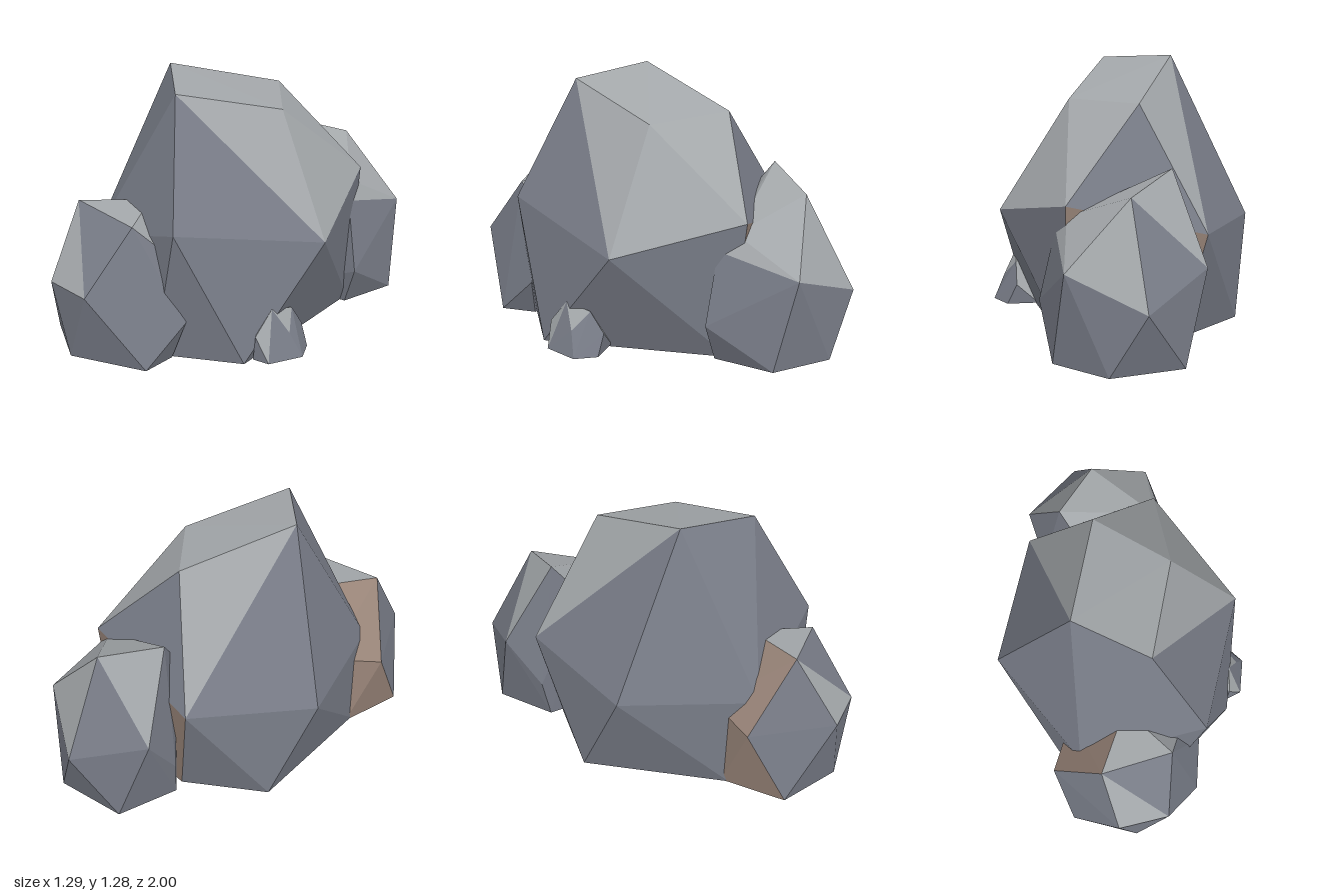
import * as THREE from 'three';
import { ConvexGeometry } from 'three/addons/geometries/ConvexGeometry.js';

function stone(name, color) {
  const material = new THREE.MeshStandardMaterial({ color, flatShading: true });
  material.name = name;
  return material;
}
const materials = [stone('slate', 0x787c87), stone('paleGrey', 0xa3a7aa), stone('earthBrown', 0x988478)];
const SLATE = 0, PALE = 1, EARTH = 2;

// Upward facets are weathered pale, the others slate
const weathered = (n) => (n.y > 0.47 ? PALE : SLATE);

// A faceted boulder: the hull of its corners, each facet coloured by its normal
function boulder(name, corners, paint) {
  const geo = new ConvexGeometry(corners.map((c) => new THREE.Vector3(...c)));
  const normal = geo.attributes.normal;
  for (let i = 0; i < normal.count; i += 3) {
    geo.addGroup(i, 3, paint(new THREE.Vector3().fromBufferAttribute(normal, i)));
  }
  const mesh = new THREE.Mesh(geo, materials);
  mesh.name = name;
  return mesh;
}

export function createModel() {
  const group = new THREE.Group();
  group.name = 'rockCluster';

  // Tall central boulder: crown, waist, flat foot; brown towards the back boulder
  group.add(boulder('mainBoulder', [
    [-0.28, 1.28, 0.2], [0.04, 1.24, 0.45], [0.26, 1.11, -0.04], [-0.05, 1.13, -0.33],
    [0.61, 0.54, 0.02], [-0.65, 0.48, 0.03], [0.27, 0.66, 0.68],
    [-0.36, 0.47, 0.64], [0.32, 0.7, -0.56], [-0.35, 0.54, -0.55],
    [-0.56, 0, -0.2], [0.49, 0, 0.44], [0.32, 0, -0.48],
    [-0.22, 0, -0.48], [-0.42, 0, 0.52], [0.12, 0, 0.68],
  ], (n) => (n.z < -0.85 && n.y < 0.2 ? EARTH : weathered(n))));

  // Front boulder: brown towards the main one, slate on its upper right front facet
  group.add(boulder('frontBoulder', [
    [-0.285, 0.715, 0.79], [0.075, 0.67, 0.76], [-0.1, 0.69, 0.5], [0.2, 0.44, 0.55],
    [-0.5, 0.365, 0.635], [-0.25, 0.365, 1], [0.005, 0.36, 1], [0.275, 0.2, 0.615],
    [-0.35, 0.41, 0.4],
    [-0.45, 0, 0.82], [-0.15, 0, 0.98], [0.22, 0, 0.82], [0.2, 0, 0.64], [-0.42, 0, 0.48],
  ], (n) => {
    if (n.x < -0.2 && n.z < 0.05) return EARTH;
    return n.x > 0.08 && n.z > 0.6 ? SLATE : weathered(n);
  }));

  // Back boulder: pale over the top and down the back right
  group.add(boulder('backBoulder', [
    [-0.18, 0.86, -0.53], [0.04, 0.785, -0.76], [0.31, 0.64, -0.5], [-0.1, 0.68, -0.4],
    [0.36, 0.56, -0.43], [0.35, 0.46, -0.83], [-0.01, 0.31, -1], [-0.315, 0.44, -0.745],
    [-0.285, 0.2, -0.565], [0.44, 0.2, -0.4],
    [0.16, 0, -0.94], [0.4, 0, -0.73], [0.36, 0, -0.42], [-0.2, 0, -0.86], [-0.25, 0, -0.54],
    [0, 0, -0.35],
  ], (n) => (n.y > 0.38 && n.x > -0.2 ? PALE : weathered(n))));

  // Small stone beside the foot, with a pale front facet
  group.add(boulder('smallStone', [
    [0.525, 0.25, 0.29], [0.53, 0.22, 0.16], [0.42, 0.2, 0.24], [0.59, 0.13, 0.235],
    [0.51, 0.13, 0.385], [0.53, 0.115, 0.09], [0.645, 0.01, 0.2], [0.585, 0.01, 0.37],
    [0.58, 0.01, 0.1], [0.5, 0.01, 0.39], [0.42, 0.01, 0.1],
  ], (n) => (n.z > 0.35 && n.y > 0.2 ? PALE : weathered(n))));

  return group;
}
